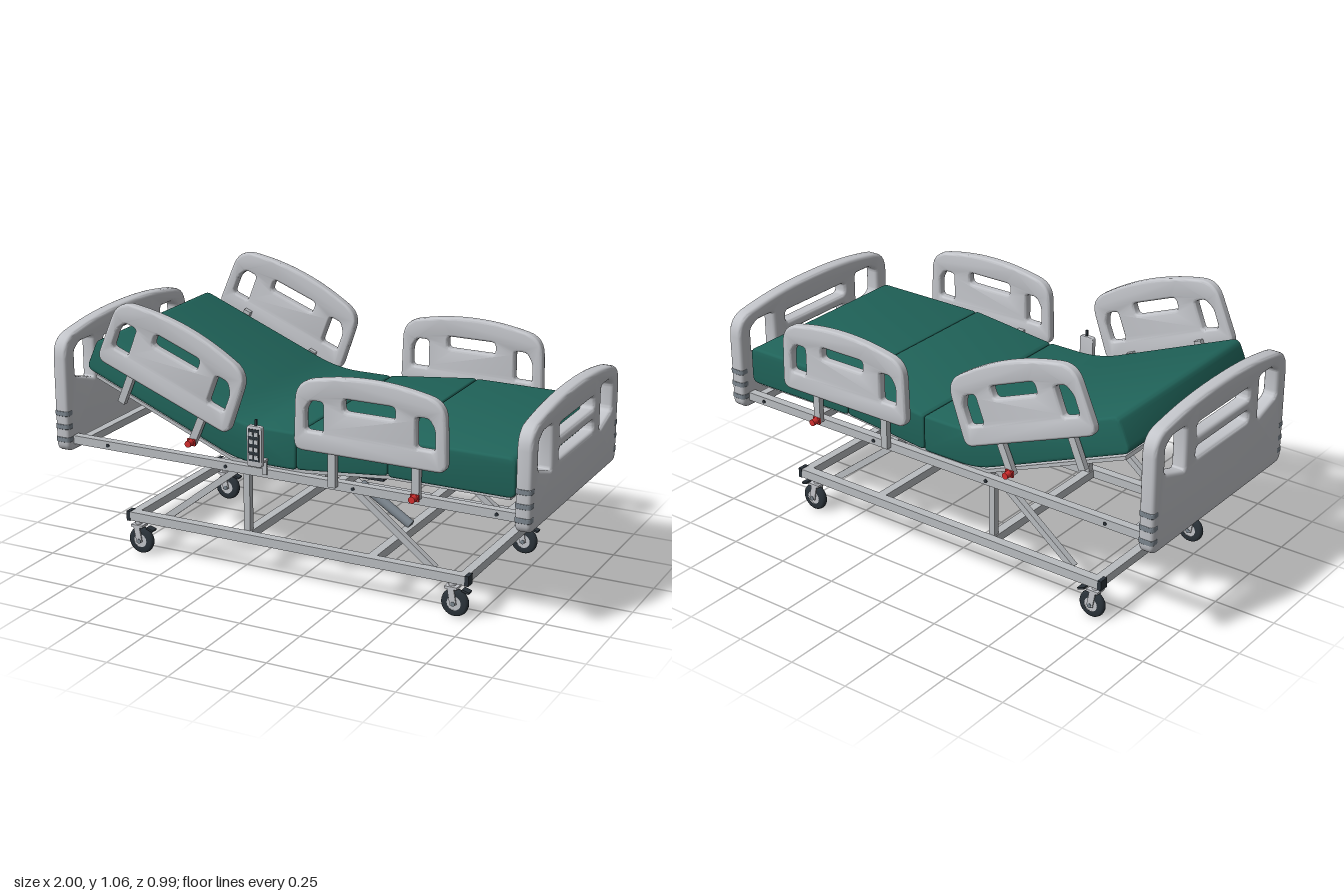
import * as THREE from 'three';
import { toCreasedNormals } from 'three/addons/utils/BufferGeometryUtils.js';

const material = (name, color) => {
  const m = new THREE.MeshStandardMaterial({ color });
  m.name = name;
  return m;
};

// Closed outline through [x, y, radius] corners, each rounded
function outline(points, Type = THREE.Shape) {
  const path = new Type();
  points.forEach(([x, y, r], i) => {
    const toward = (q) => {
      const d = Math.hypot(q[0] - x, q[1] - y), t = Math.min(r / d, 0.49);
      return [x + (q[0] - x) * t, y + (q[1] - y) * t];
    };
    const a = toward(points.at(i - 1)), b = toward(points[(i + 1) % points.length]);
    i ? path.lineTo(...a) : path.moveTo(...a);
    path.quadraticCurveTo(x, y, ...b);
  });
  path.closePath();
  return path;
}

const rect = (x0, y0, x1, y1, r) => [[x0, y0, r], [x1, y0, r], [x1, y1, r], [x0, y1, r]];
const flip = (points) => points.map(([x, y, r]) => [-x, y, r]).reverse();

// Slab centred on z = 0 with softened edges and holes
function slab(points, holes, depth, bevel) {
  const shape = outline(points);
  shape.holes = holes.map((h) => outline(h, THREE.Path));
  const g = new THREE.ExtrudeGeometry(shape, {
    depth: depth - 2 * bevel, bevelEnabled: bevel > 0, bevelSize: bevel, bevelThickness: bevel,
    bevelOffset: -bevel, bevelSegments: 3, curveSegments: 6,
  });
  g.translate(0, 0, bevel - depth / 2);
  return toCreasedNormals(g, 0.6);
}

export function createModel() {
  const shell = material('light grey plastic', 0xc3c5ca);
  const frame = material('frame grey', 0xb9bcc0);
  const green = material('mattress green', 0x20645a);
  const dark = material('dark rubber', 0x2c343b);
  const steel = material('blue grey steel', 0x7b858e);
  const red = material('release red', 0xd42e2e);

  const root = new THREE.Group();
  root.name = 'adjustableBed';
  const bed = new THREE.Group();
  bed.name = 'bed';
  bed.position.z = -0.0135;
  root.add(bed);

  const add = (name, geo, mat, x = 0, y = 0, z = 0, parent = bed) => {
    const mesh = new THREE.Mesh(geo, mat);
    mesh.name = name;
    mesh.position.set(x, y, z);
    parent.add(mesh);
    return mesh;
  };
  const box = (name, mat, w, h, d, x, y, z, parent) =>
    add(name, new THREE.BoxGeometry(w, h, d), mat, x, y, z, parent);
  // Bar between two points of a side plane
  const bar = (name, mat, [x0, y0], [x1, y1], t, depth, z) => {
    const m = box(name, mat, Math.hypot(x1 - x0, y1 - y0), t, depth, (x0 + x1) / 2, (y0 + y1) / 2, z);
    m.rotation.z = Math.atan2(y1 - y0, x1 - x0);
    return m;
  };
  const rod = (name, mat, [x0, y0], [x1, y1], r, z) => {
    const geo = new THREE.CylinderGeometry(r, r, Math.hypot(x1 - x0, y1 - y0), 20);
    const m = add(name, geo, mat, (x0 + x1) / 2, (y0 + y1) / 2, z);
    m.rotation.z = Math.atan2(y1 - y0, x1 - x0) - Math.PI / 2;
    return m;
  };
  // Cylinder lying along z
  const pin = (name, mat, r, len, x, y, z, parent) =>
    add(name, new THREE.CylinderGeometry(r, r, len, 20).rotateX(Math.PI / 2), mat, x, y, z, parent);

  // Head and foot boards
  for (const [name, x, top] of [['headboard', -0.97, 0.923], ['footboard', 0.97, 0.848]]) {
    const up = top - 0.848;
    const body = [[-0.453, 0.414, 0.04], [0.453, 0.414, 0.04], [0.453, top - 0.045, 0.08],
      [0.18, top, 0.17], [-0.18, top, 0.17], [-0.453, top - 0.045, 0.08]];
    const pane = [[0.253, 0.595, 0.015], [0.385, 0.636, 0.02], [0.385, 0.742, 0.015],
      [0.345, 0.768, 0.015], [0.253, 0.768, 0.015]].map(([a, b, r]) => [a, b + up, r]);
    const slots = [[0.7, 0.749], [0.614, 0.657]].map(([a, b]) => rect(-0.18, a + up, 0.18, b + up, 0.018));
    add(name, slab(body, [pane, flip(pane), ...slots], 0.06, 0.014).rotateY(Math.PI / 2), shell, x);
    // Ribbed corner bumpers
    for (const s of [-1, 1]) for (const y of [0.465, 0.518, 0.572]) {
      add('cornerBumper', slab(rect(-0.032, -0.022, 0.032, 0.022, 0.018), [], 0.02, 0.003).rotateX(Math.PI / 2),
        steel, x, y, s * 0.434);
    }
  }

  // Mattress sections, drawn in side profile
  const sections = {
    backMattress: [[-0.872, 0.762, 0.03], [-0.2, 0.488, 0.08], [0.048, 0.488, 0.02], [0.048, 0.636, 0.015],
      [-0.19, 0.636, 0.1], [-0.815, 0.89, 0.03]],
    thighMattress: [[0.048, 0.49, 0.02], [0.425, 0.527, 0.02], [0.425, 0.678, 0.015], [0.048, 0.636, 0.015]],
    footMattress: [[0.425, 0.524, 0.02], [0.925, 0.524, 0.03], [0.925, 0.676, 0.03], [0.425, 0.676, 0.015]],
  };
  for (const [name, points] of Object.entries(sections)) add(name, slab(points, [], 0.824, 0.01), green);

  // Deck panels under the mattress
  const deck = [[-0.84, 0.728], [-0.235, 0.482], [0.048, 0.48], [0.425, 0.517], [0.9, 0.517]];
  for (let i = 0; i < 4; i++) bar('deckPanel', frame, deck[i], deck[i + 1], 0.014, 0.78, 0);

  // Upper frame
  for (const s of [-1, 1]) {
    box('upperRail', frame, 1.9, 0.034, 0.034, 0, 0.459, s * 0.402);
    for (const x of [-0.78, -0.25, 0.29, 0.86]) pin('railBolt', dark, 0.007, 0.006, x, 0.459, s * 0.42);
    bar('footStrut', frame, [0.58, 0.465], [0.66, 0.52], 0.02, 0.02, s * 0.2);
  }
  for (const x of [-0.9, -0.21, -0.08, 0.22, 0.6, 0.9]) box('upperCrossbar', frame, 0.034, 0.03, 0.78, x, 0.457, 0);

  // Lower frame, legs and braces
  for (const s of [-1, 1]) {
    box('lowerRail', frame, 1.45, 0.036, 0.038, 0, 0.157, s * 0.35);
    for (const e of [-1, 1]) box('endCap', dark, 0.016, 0.04, 0.04, e * 0.729, 0.157, s * 0.35);
    bar('leg', frame, [-0.21, 0.15], [-0.21, 0.45], 0.027, 0.026, s * 0.317);
    bar('headBrace', frame, [-0.58, 0.16], [-0.215, 0.445], 0.026, 0.026, s * 0.317);
    bar('footBrace', frame, [0.215, 0.445], [0.58, 0.16], 0.026, 0.026, s * 0.317);
  }
  for (const x of [-0.71, -0.21, 0.33, 0.71]) box('lowerCrossbar', frame, 0.036, 0.034, 0.67, x, 0.157, 0);

  // Lift actuator and motor
  rod('actuatorRod', frame, [-0.08, 0.44], [0.14, 0.302], 0.01, 0);
  rod('actuatorBody', steel, [0.12, 0.315], [0.335, 0.18], 0.019, 0);
  box('motorBox', dark, 0.155, 0.066, 0.132, 0.168, 0.397, 0);

  // Casters
  const tyre = [[0.028, -0.014], [0.046, -0.014], [0.053, -0.008], [0.055, 0], [0.053, 0.008], [0.046, 0.014], [0.028, 0.014]]
    .map(([r, h]) => new THREE.Vector2(r, h));
  for (const e of [-1, 1]) for (const s of [-1, 1]) {
    const caster = new THREE.Group();
    caster.name = 'caster';
    caster.position.set(e * 0.68 - 0.005, 0, s * 0.343);
    bed.add(caster);
    add('tyre', new THREE.LatheGeometry(tyre, 28).rotateX(Math.PI / 2), dark, 0, 0.055, 0, caster);
    pin('hub', shell, 0.029, 0.024, 0, 0.055, 0, caster);
    pin('axle', steel, 0.009, 0.05, 0, 0.055, 0, caster);
    add('stem', new THREE.CylinderGeometry(0.014, 0.014, 0.03, 16), shell, -0.012, 0.13, 0, caster);
    box('forkCrown', shell, 0.05, 0.01, 0.046, -0.01, 0.117, 0, caster);
    for (const t of [-1, 1]) {
      const arm = box('forkArm', shell, 0.026, 0.07, 0.005, -0.006, 0.085, t * 0.02, caster);
      arm.rotation.z = 0.18;
    }
    const pedal = box('brakePedal', dark, 0.03, 0.008, 0.03, 0.045, 0.108, 0, caster);
    pedal.rotation.z = -0.3;
  }

  // Side guards, the head pair tilted with the backrest
  const guard = [[-0.307, -0.138, 0.04], [0.307, -0.138, 0.04], [0.298, 0.125, 0.07], [0.1, 0.165, 0.12],
    [-0.1, 0.165, 0.12], [-0.298, 0.125, 0.07]];
  const grip = [[-0.26, -0.06, 0.015], [-0.185, -0.06, 0.015], [-0.185, 0.058, 0.015], [-0.235, 0.058, 0.015], [-0.26, 0.02, 0.02]];
  const guardGeo = slab(guard, [grip, flip(grip), rect(-0.103, 0.032, 0.103, 0.082, 0.018)], 0.04, 0.01);
  for (const s of [-1, 1]) {
    add('footGuard', guardGeo, shell, 0.383, 0.738, s * 0.463);
    add('headGuard', guardGeo, shell, -0.44, 0.848, s * 0.463).rotation.z = -0.37;
    const posts = [[[0.215, 0.46], [0.215, 0.64]], [[0.553, 0.47], [0.553, 0.64]],
      [[-0.695, 0.655], [-0.625, 0.82]], [[-0.385, 0.535], [-0.32, 0.685]]];
    for (const [a, b] of posts) bar('guardPost', frame, a, b, 0.03, 0.024, s * 0.434);
    for (const [x, y] of [[-0.38, 0.545], [0.553, 0.479]]) {
      pin('releaseKnob', red, 0.013, 0.03, x, y, s * 0.462);
      box('knobCollar', red, 0.034, 0.026, 0.008, x, y, s * 0.448);
    }
  }

  // Hand control hooked on the rail
  const remote = new THREE.Group();
  remote.name = 'handControl';
  remote.position.set(-0.078, 0.59, 0.49);
  bed.add(remote);
  add('controlBody', slab(rect(-0.032, -0.08, 0.032, 0.08, 0.012), [], 0.022, 0.004), shell, 0, 0, 0, remote);
  box('controlFace', dark, 0.046, 0.125, 0.005, 0, 0.006, 0.0115, remote);
  for (const x of [-0.011, 0.011]) for (let i = 0; i < 4; i++) {
    box('controlButton', shell, 0.015, 0.016, 0.004, x, 0.05 - i * 0.03, 0.0145, remote);
  }
  box('controlCord', dark, 0.008, 0.03, 0.008, 0.004, 0.09, 0, remote);
  box('controlHook', frame, 0.02, 0.008, 0.075, 0, -0.076, -0.04, remote);
  box('controlHookLeg', frame, 0.02, 0.06, 0.006, 0, -0.104, -0.068, remote);

  return root;
}
